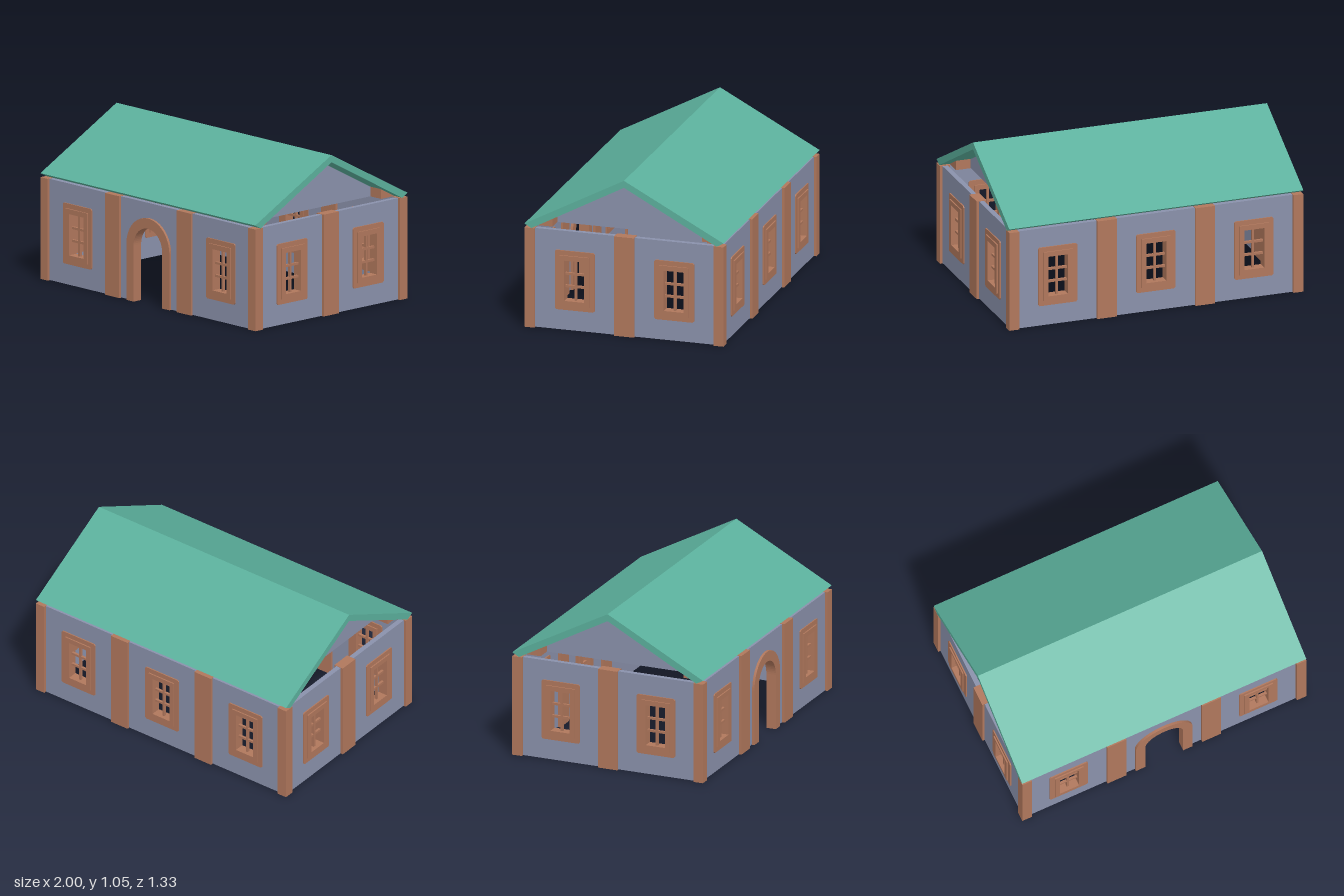
import * as THREE from 'three';

const wallMat = new THREE.MeshStandardMaterial({ color: 0x8a91ab });
wallMat.name = 'greyBlueWall';
const trimMat = new THREE.MeshStandardMaterial({ color: 0xb0775c });
trimMat.name = 'clayBrownTrim';
const roofMat = new THREE.MeshStandardMaterial({ color: 0x5bb09c });
roofMat.name = 'seaGreenRoof';

const H = 0.667;      // wall height
const HX = 1;         // half length
const HZ = 0.667;     // half depth
const POST = 0.067;   // post thickness
const MID = POST / 2; // wall centre line, inset from the outer face

function mesh(name, geometry, material, parent, x = 0, y = 0, z = 0) {
  const m = new THREE.Mesh(geometry, material);
  m.name = name;
  m.position.set(x, y, z);
  parent.add(m);
  return m;
}

function box(name, w, h, d, material, parent, x, y, z) {
  return mesh(name, new THREE.BoxGeometry(w, h, d), material, parent, x, y, z);
}

// Extrusion centred on z = 0
function slab(shape, depth) {
  const g = new THREE.ExtrudeGeometry(shape, { depth, bevelEnabled: false, curveSegments: 16 });
  return g.translate(0, 0, -depth / 2);
}

// Rectangle path with optional cut corners
function rectPath(path, x0, y0, x1, y1, c = 0) {
  const pts = c
    ? [[x0 + c, y0], [x1 - c, y0], [x1, y0 + c], [x1, y1 - c], [x1 - c, y1], [x0 + c, y1], [x0, y1 - c], [x0, y0 + c]]
    : [[x0, y0], [x1, y0], [x1, y1], [x0, y1]];
  return path.setFromPoints([...pts, pts[0]].map(([x, y]) => new THREE.Vector2(x, y)));
}

// Arch standing on y0, round top centred at y = 0.367
function archPath(path, x, r, y0) {
  path.moveTo(x - r, y0);
  path.lineTo(x + r, y0);
  path.lineTo(x + r, 0.367);
  path.absarc(x, 0.367, r, 0, Math.PI, false);
  path.lineTo(x - r, y0);
  return path;
}

// Window with stepped casing and six panes
function addWindow(parent, x) {
  const g = new THREE.Group();
  g.name = 'window';
  g.position.x = x;
  const ring = (name, w, y0, y1, depth, hw, hy0, hy1, c) => {
    const s = rectPath(new THREE.Shape(), -w, y0, w, y1, c);
    s.holes.push(rectPath(new THREE.Path(), -hw, hy0, hw, hy1));
    mesh(name, slab(s, depth), trimMat, g);
  };
  ring('outerCasing', 0.133, 0.137, 0.535, 0.05, 0.099, 0.17, 0.502, 0.009);
  ring('innerCasing', 0.1, 0.169, 0.503, 0.067, 0.067, 0.2, 0.47, 0);
  box('verticalBar', 0.015, 0.27, 0.018, trimMat, g, 0, 0.335, 0);
  for (const y of [0.292, 0.376]) box('crossBar', 0.134, 0.015, 0.016, trimMat, g, 0, y, 0);
  parent.add(g);
}

// Arched door surround
function addDoorway(parent, x) {
  const s = new THREE.Shape();
  s.moveTo(x + 0.133, 0);
  s.lineTo(x + 0.2, 0);
  s.lineTo(x + 0.2, 0.367);
  s.absarc(x, 0.367, 0.2, 0, Math.PI, false);
  s.lineTo(x - 0.2, 0);
  s.lineTo(x - 0.133, 0);
  s.lineTo(x - 0.133, 0.367);
  s.absarc(x, 0.367, 0.133, Math.PI, 0, true);
  s.lineTo(x + 0.133, 0);
  mesh('doorSurround', slab(s, POST), trimMat, parent);
}

// One wall facing +z: panel, openings and the pillars between bays
function addWall(parent, name, half, bays, doorBay) {
  const g = new THREE.Group();
  g.name = name;
  const e = half - MID;
  let panel = new THREE.Shape();
  if (doorBay === undefined) {
    rectPath(panel, -e, 0.002, e, H - 0.002);
  } else {
    // Outline notched by the doorway
    const r = 0.15;
    panel.moveTo(-e, 0.002);
    panel.lineTo(-r, 0.002);
    panel.lineTo(-r, 0.367);
    panel.absarc(0, 0.367, r, Math.PI, 0, true);
    panel.lineTo(r, 0.002);
    panel.lineTo(e, 0.002);
    panel.lineTo(e, H - 0.002);
    panel.lineTo(-e, H - 0.002);
    panel.lineTo(-e, 0.002);
  }
  bays.forEach((x, i) => {
    if (i === doorBay) {
      addDoorway(g, x);
    } else {
      panel.holes.push(rectPath(new THREE.Path(), x - 0.08, 0.185, x + 0.08, 0.485));
      addWindow(g, x);
    }
    if (i > 0) box('pillar', 0.133, H, POST, trimMat, g, (x + bays[i - 1]) / 2, H / 2, 0);
  });
  mesh('wallPanel', slab(panel, 0.034), wallMat, g);
  parent.add(g);
  return g;
}

// Profile in (z, y) extruded along x, centred at x
function alongX(points, length) {
  const s = new THREE.Shape(points.map(([z, y]) => new THREE.Vector2(-z, y)));
  return slab(s, length).rotateY(Math.PI / 2);
}

export function createModel() {
  const model = new THREE.Group();
  model.name = 'house';

  // Walls
  const long = [-0.667, 0, 0.667];
  const short = [-0.333, 0.333];
  addWall(model, 'frontWall', HX, long, 1).position.z = HZ - MID;
  const back = addWall(model, 'backWall', HX, long);
  back.position.z = -(HZ - MID);
  back.rotation.y = Math.PI;
  for (const s of [-1, 1]) {
    const side = addWall(model, s > 0 ? 'leftWall' : 'rightWall', HZ, short);
    side.position.x = s * (HX - MID);
    side.rotation.y = s * Math.PI / 2;
  }

  // Corner posts, and the wedge blocks under the eaves
  for (const sx of [-1, 1]) {
    for (const sz of [-1, 1]) {
      box('cornerPost', POST, H, POST, trimMat, model, sx * (HX - MID), H / 2, sz * (HZ - MID));
      const wedge = [[0.5, 0.667], [0.618, 0.667], [0.5, 0.731]].map(([z, y]) => [z * sz, y]);
      mesh('eaveBlock', alongX(wedge, 0.1), trimMat, model, sx * 0.88);
    }
  }

  // Attic body with gables and a flat ceiling
  mesh('attic', alongX([[-0.617, 0.667], [0.617, 0.667], [0, 0.999]], 1.66), wallMat, model);

  // Two roof slopes meeting at the ridge
  const roof = [[0, 1.047], [0.667, 0.693], [0.62, 0.667], [0, 1.0], [-0.62, 0.667], [-0.667, 0.693]];
  mesh('roof', alongX(roof, 2 * HX), roofMat, model);

  return model;
}
